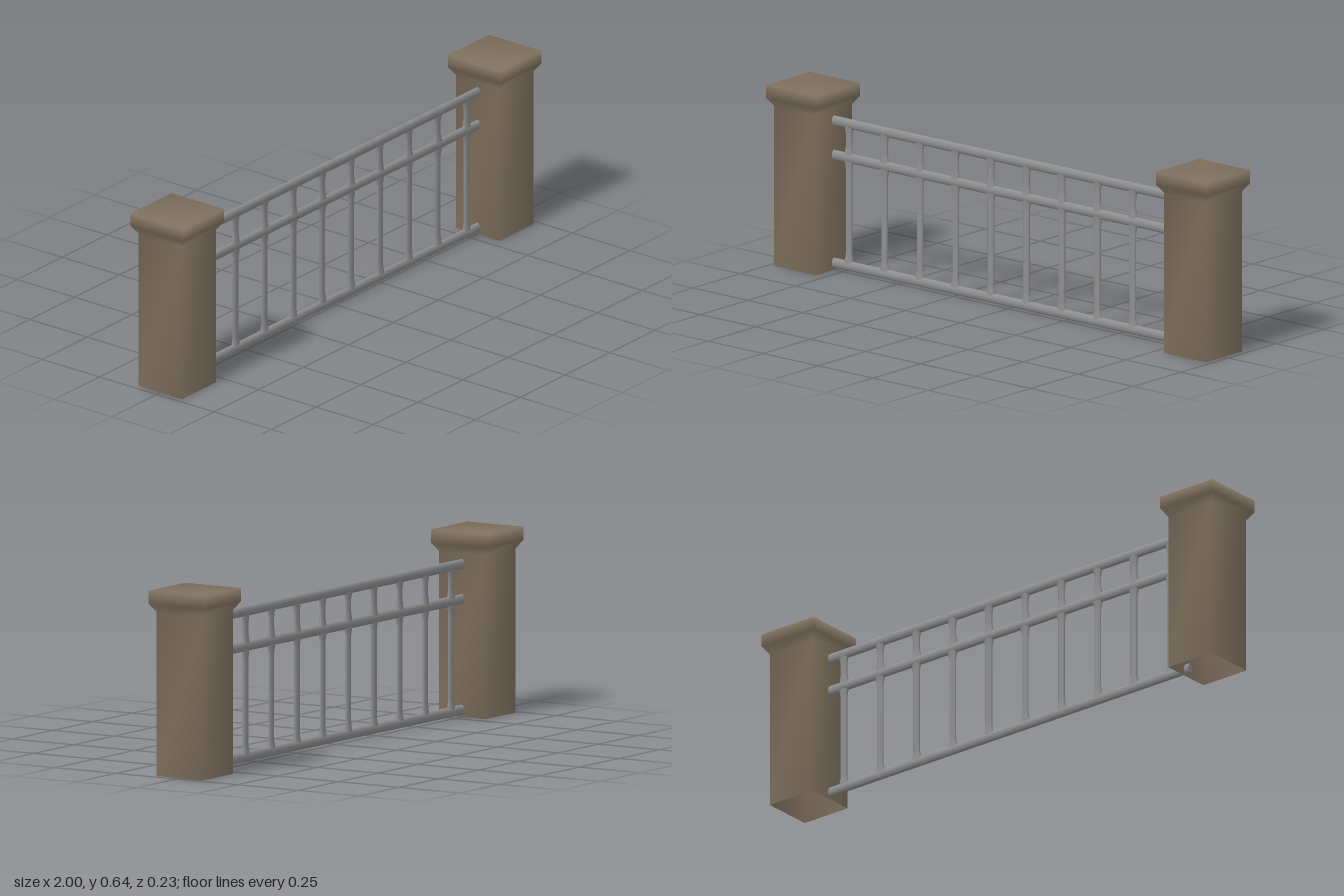
import * as THREE from 'three';

const stone = new THREE.MeshStandardMaterial({ color: 0x7f705e, side: THREE.DoubleSide });
stone.name = 'brownStone';
const metal = new THREE.MeshStandardMaterial({ color: 0x8e8f8f, side: THREE.DoubleSide });
metal.name = 'greyMetal';

// Square post with a flared cap, open underneath, softly shaded across its corners
function pillarGeometry() {
  const rings = [[0.095, 0], [0.095, 0.57], [0.115, 0.6], [0.115, 0.645]];
  const corners = [[1, 1], [1, -1], [-1, -1], [-1, 1]];
  const positions = [];
  const index = [];
  rings.forEach(([half, y], r) => {
    corners.forEach(([x, z], c) => {
      positions.push(x * half, y, z * half);
      if (r === 0) return;
      const next = (c + 1) % 4;
      const a = (r - 1) * 4 + c, b = (r - 1) * 4 + next;
      const d = r * 4 + c, e = r * 4 + next;
      index.push(a, b, e, a, e, d);
    });
  });
  const top = (rings.length - 1) * 4;
  index.push(top, top + 1, top + 2, top, top + 2, top + 3);
  const geometry = new THREE.BufferGeometry();
  geometry.setAttribute('position', new THREE.Float32BufferAttribute(positions, 3));
  geometry.setIndex(index);
  geometry.computeVertexNormals();
  return geometry;
}

// Upright bar that widens where it meets the rails
function barGeometry(bottom, top) {
  const profile = [
    [0.022, bottom], [0.018, bottom + 0.018], [0.015, bottom + 0.034],
    [0.015, top - 0.034], [0.018, top - 0.018], [0.022, top],
  ].map(([r, y]) => new THREE.Vector2(r, y));
  return new THREE.LatheGeometry(profile, 8).scale(1, 1, 0.45);
}

export function createModel() {
  const group = new THREE.Group();
  group.name = 'fenceSection';
  const add = (name, geometry, material, x, y) => {
    const mesh = new THREE.Mesh(geometry, material);
    mesh.name = name;
    mesh.position.set(x, y, 0);
    group.add(mesh);
  };

  // Stone pillars
  const pillar = pillarGeometry();
  add('leftPillar', pillar, stone, 0.885, 0);
  add('rightPillar', pillar, stone, -0.885, 0);

  // Horizontal rails, taller than deep
  const rail = new THREE.CylinderGeometry(0.0178, 0.0178, 1.62, 10)
    .rotateZ(Math.PI / 2).scale(1, 1, 0.6);
  add('bottomRail', rail, metal, 0, 0.026);
  add('middleRail', rail, metal, 0, 0.41);
  add('topRail', rail, metal, 0, 0.532);

  // Ten uprights, each in a long lower and a short upper piece
  const lower = barGeometry(0.035, 0.4);
  const upper = barGeometry(0.42, 0.525);
  for (let i = 0; i < 10; i++) {
    const x = -0.721 + i * 0.161;
    add('lowerBar', lower, metal, x, 0);
    add('upperBar', upper, metal, x, 0);
  }
  return group;
}
